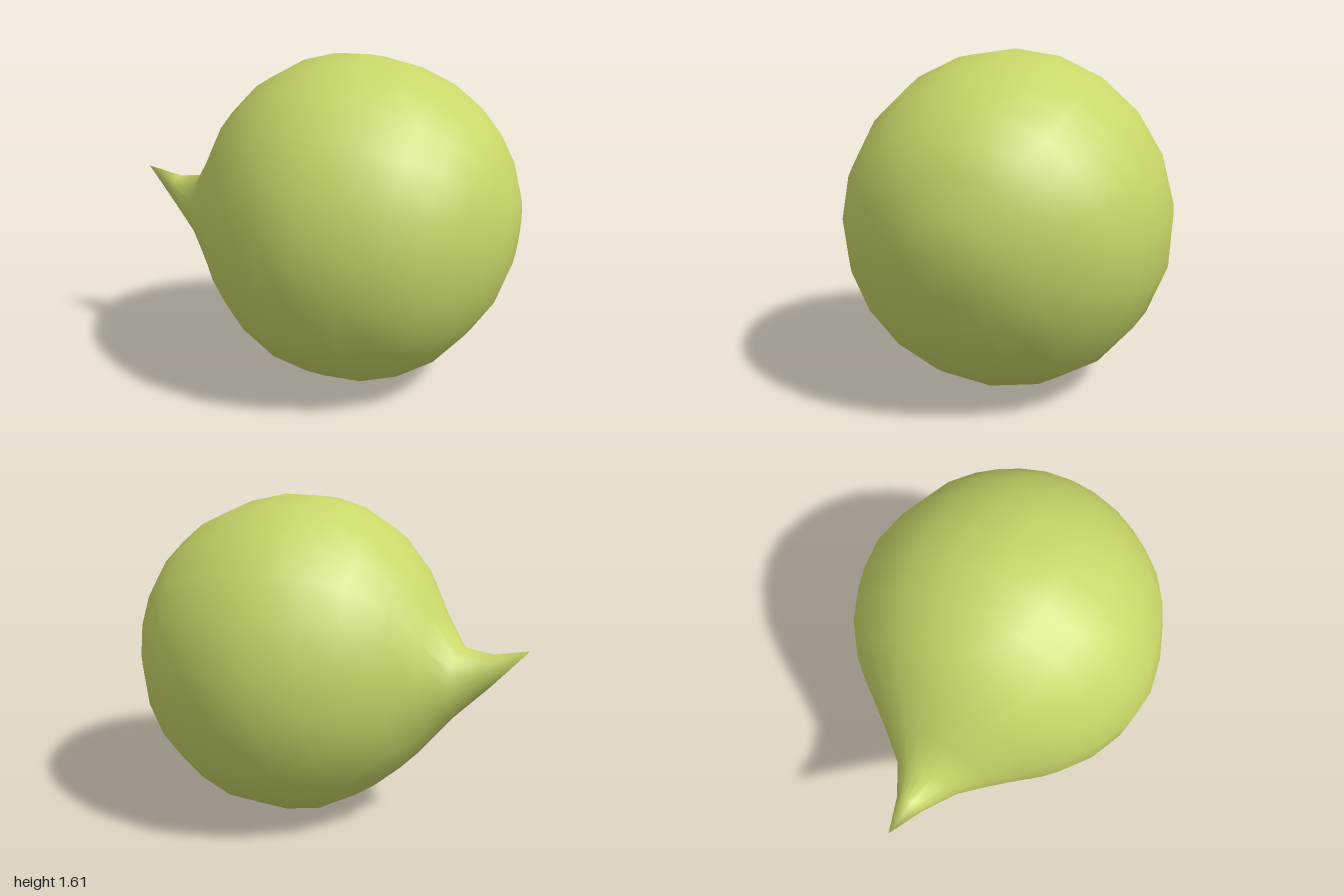
import * as THREE from 'three';

const SIDES = 20;

// Tilted elliptical rings from tail to nose: [topX, topY, bottomX, bottomY, halfWidth]
const RINGS = [
  [-0.82, 0.925, -0.82, 0.765, 0.07],
  [-0.67, 0.94, -0.65, 0.59, 0.165],
  [-0.55, 1.11, -0.56, 0.48, 0.285],
  [-0.42, 1.33, -0.47, 0.37, 0.42],
  [-0.26, 1.48, -0.38, 0.275, 0.57],
  [-0.08, 1.575, -0.24, 0.15, 0.69],
  [0.09, 1.615, -0.05, 0.045, 0.77],
  [0.26, 1.615, 0.13, 0.005, 0.795],
  [0.46, 1.57, 0.32, 0.005, 0.765],
  [0.63, 1.495, 0.5, 0.06, 0.705],
  [0.77, 1.39, 0.67, 0.16, 0.61],
  [0.87, 1.28, 0.8, 0.3, 0.475],
  [0.935, 1.17, 0.91, 0.46, 0.335],
  [0.99, 1.0, 0.975, 0.64, 0.185],
];
const TIP = [-1, 0.965, 0];
const NOSE = [1, 0.83, 0];

// Skin the rings, closing each end on a single shared point
function loft() {
  const pos = [...TIP];
  for (const [tx, ty, bx, by, w] of RINGS) {
    for (let j = 0; j < SIDES; j++) {
      const base = (j / SIDES) * Math.PI * 2;
      const a = base + 0.085 * Math.cos(base) * Math.sign(Math.cos(base));
      const angle = Math.cos(base) >= 0 ? a : 2 * base - a;
      const t = (1 + Math.sin(angle)) / 2;
      pos.push(bx + (tx - bx) * t, by + (ty - by) * t, w * Math.cos(angle));
    }
  }
  pos.push(...NOSE);

  const index = [];
  const at = (i, j) => 1 + i * SIDES + (j % SIDES);
  const last = RINGS.length - 1;
  const nose = pos.length / 3 - 1;
  for (let j = 0; j < SIDES; j++) {
    index.push(0, at(0, j), at(0, j + 1));
    for (let i = 0; i < last; i++) {
      index.push(at(i, j), at(i + 1, j), at(i, j + 1));
      index.push(at(i + 1, j), at(i + 1, j + 1), at(i, j + 1));
    }
    index.push(at(last, j), nose, at(last, j + 1));
  }

  const geometry = new THREE.BufferGeometry();
  geometry.setAttribute('position', new THREE.Float32BufferAttribute(pos, 3));
  geometry.setIndex(index);
  geometry.computeVertexNormals();
  return geometry;
}

export function createModel() {
  const group = new THREE.Group();
  group.name = 'roundBodyWithTail';
  // Ball-shaped body drawn out into a pointed tail
  const body = new THREE.Mesh(loft(), new THREE.MeshStandardMaterial({ color: 0xc8d668 }));
  body.name = 'body';
  group.add(body);
  return group;
}
